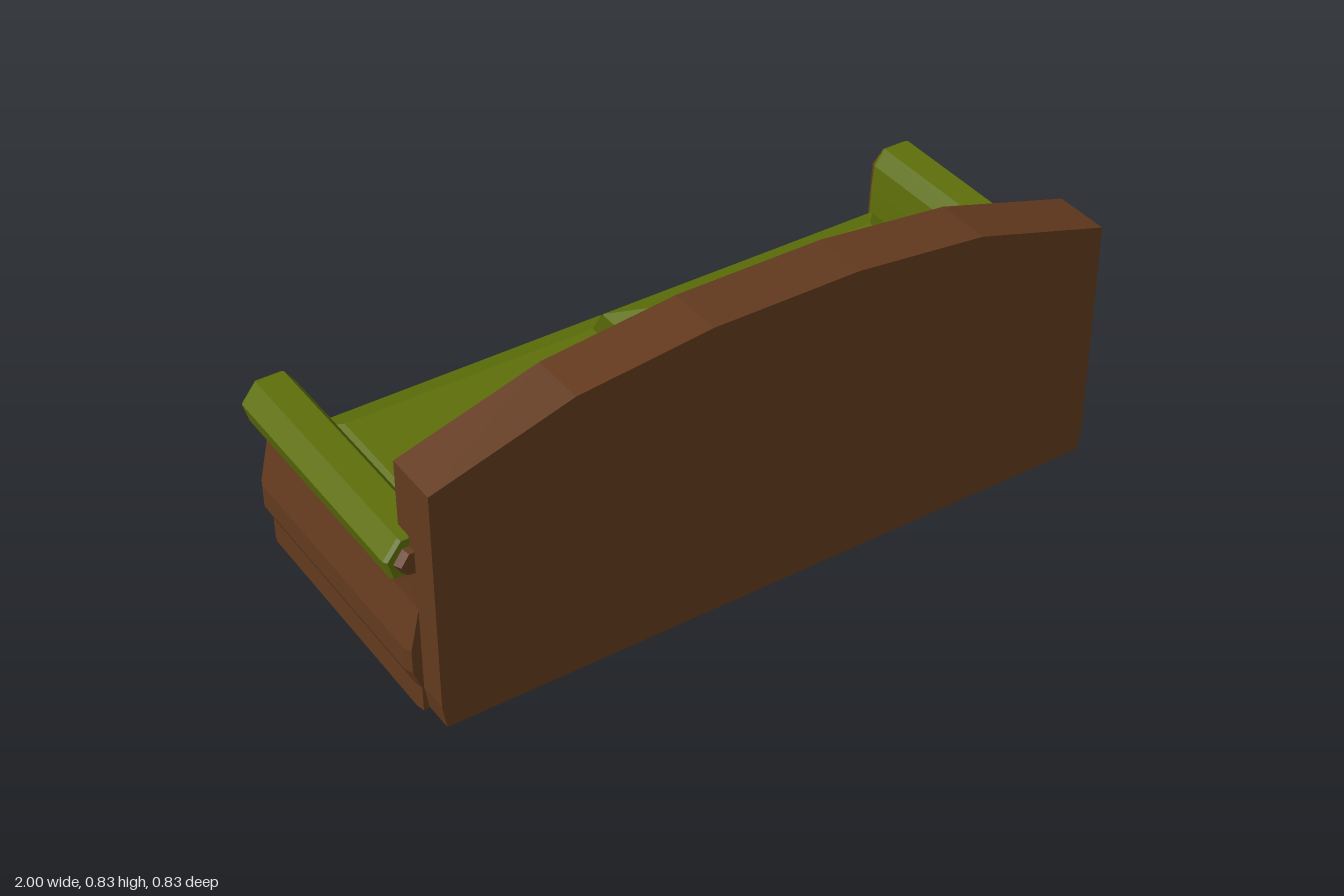
import * as THREE from 'three';

const wood = new THREE.MeshStandardMaterial({ color: 0x633a1e, flatShading: true });
wood.name = 'brown wood';
const fabric = new THREE.MeshStandardMaterial({ color: 0x5d6e09, flatShading: true });
fabric.name = 'green fabric';

// Flat-faced solid through matching counter-clockwise loops, stacked along z
function loft(sections) {
  const pos = [];
  const put = (p, z) => pos.push(p[0], p[1], z);
  for (let s = 0; s < sections.length - 1; s++) {
    const a = sections[s], b = sections[s + 1], n = a.pts.length;
    for (let i = 0; i < n; i++) {
      const j = (i + 1) % n;
      put(a.pts[i], a.z); put(a.pts[j], a.z); put(b.pts[j], b.z);
      put(a.pts[i], a.z); put(b.pts[j], b.z); put(b.pts[i], b.z);
    }
  }
  const cap = (s, flip) => {
    const v = s.pts.map(p => new THREE.Vector2(p[0], p[1]));
    for (const [i, j, k] of THREE.ShapeUtils.triangulateShape(v, [])) {
      for (const q of flip ? [i, k, j] : [i, j, k]) put(s.pts[q], s.z);
    }
  };
  cap(sections[0], true);
  cap(sections[sections.length - 1], false);
  const g = new THREE.BufferGeometry();
  g.setAttribute('position', new THREE.Float32BufferAttribute(pos, 3));
  g.computeVertexNormals();
  return g;
}

// Upright block from rows of [y, x0, x1, z0, z1]
function block(rows) {
  return loft(rows.map(([y, x0, x1, z0, z1]) => ({
    z: y, pts: [[x0, -z1], [x1, -z1], [x1, -z0], [x0, -z0]],
  }))).rotateX(-Math.PI / 2);
}

// Arm profile pulled from z0 to z1; both ends taper by k over the length c,
// the scroll towards its centre and the wall below it only in width
function armBar(profile, side, z0, z1, c, k) {
  const place = pts => (side > 0 ? pts : pts.map(([x, y]) => [-x, y]).reverse());
  const full = place(profile);
  const end = place(profile.map(([x, y]) => [
    0.91 + (x - 0.91) * k, y > 0.39 ? 0.44 + (y - 0.44) * k : y,
  ]));
  return loft([
    { z: z0, pts: end }, { z: z0 + c, pts: full },
    { z: z1 - c, pts: full }, { z: z1, pts: end },
  ]);
}

// Symmetric outline with an arched top
function arch(foot, half, bottom, knee, tops) {
  const right = [[foot, bottom], [half, knee], ...tops];
  return [...right, ...right.map(([x, y]) => [-x, y]).reverse()];
}

export function createModel() {
  const group = new THREE.Group();
  const add = (name, geometry, material) => {
    const m = new THREE.Mesh(geometry, material);
    m.name = name;
    group.add(m);
  };

  // Arched wooden back
  const back = arch(0.925, 0.935, 0.005, 0.07, [[0.935, 0.682], [0.56, 0.795], [0.2, 0.835]]);
  add('backFrame', loft([{ z: 0.26, pts: back }, { z: 0.413, pts: back }]), wood);

  // Padded back with a bevelled rim
  add('backCushion', loft([
    { z: 0.21, pts: arch(0.8, 0.8, 0.25, 0.3, [[0.8, 0.63], [0.5, 0.725], [0.18, 0.76]]) },
    { z: 0.262, pts: arch(0.85, 0.85, 0.25, 0.3, [[0.85, 0.645], [0.53, 0.747], [0.19, 0.785]]) },
  ]), fabric);

  // Plinth and upholstered seat base
  add('plinth', block([[0.003, -0.87, 0.87, -0.387, 0.27], [0.052, -0.87, 0.87, -0.387, 0.27]]), wood);
  add('seatBase', block([
    [0.05, -0.86, 0.86, -0.36, 0.27],
    [0.07, -0.86, 0.86, -0.38, 0.27],
    [0.172, -0.86, 0.86, -0.38, 0.27],
    [0.22, -0.86, 0.86, -0.34, 0.27],
  ]), fabric);

  // Two softly crowned seat cushions
  for (const s of [-1, 1]) {
    const row = (y, inner, outer, front) => [
      y, Math.min(s * inner, s * outer), Math.max(s * inner, s * outer), front, 0.25,
    ];
    add(s > 0 ? 'leftSeatCushion' : 'rightSeatCushion', block([
      row(0.2, 0.01, 0.84, -0.365),
      row(0.218, 0.002, 0.855, -0.387),
      row(0.316, 0.002, 0.855, -0.387),
      row(0.356, 0.08, 0.78, -0.3),
    ]), fabric);
  }

  // Scrolled arms with padded tops and inner sides
  const armProfile = [
    [0.845, 0], [0.945, 0], [0.945, 0.07], [0.969, 0.125], [0.969, 0.19], [0.937, 0.31],
    [0.932, 0.405], [0.962, 0.41], [0.98, 0.44], [0.955, 0.476], [0.885, 0.476],
    [0.86, 0.45], [0.857, 0.4], [0.845, 0.22],
  ];
  const padProfile = [
    [0.935, 0.392], [0.985, 0.398], [1, 0.452], [0.96, 0.503], [0.885, 0.503],
    [0.855, 0.46], [0.848, 0.39], [0.838, 0.18], [0.87, 0.18], [0.88, 0.392],
  ];
  for (const s of [-1, 1]) {
    const side = s > 0 ? 'left' : 'right';
    add(side + 'Arm', armBar(armProfile, s, -0.413, 0.33, 0.022, 0.85), wood);
    add(side + 'ArmPad', armBar(padProfile, s, -0.395, 0.31, 0.01, 0.92), fabric);
  }
  return group;
}
